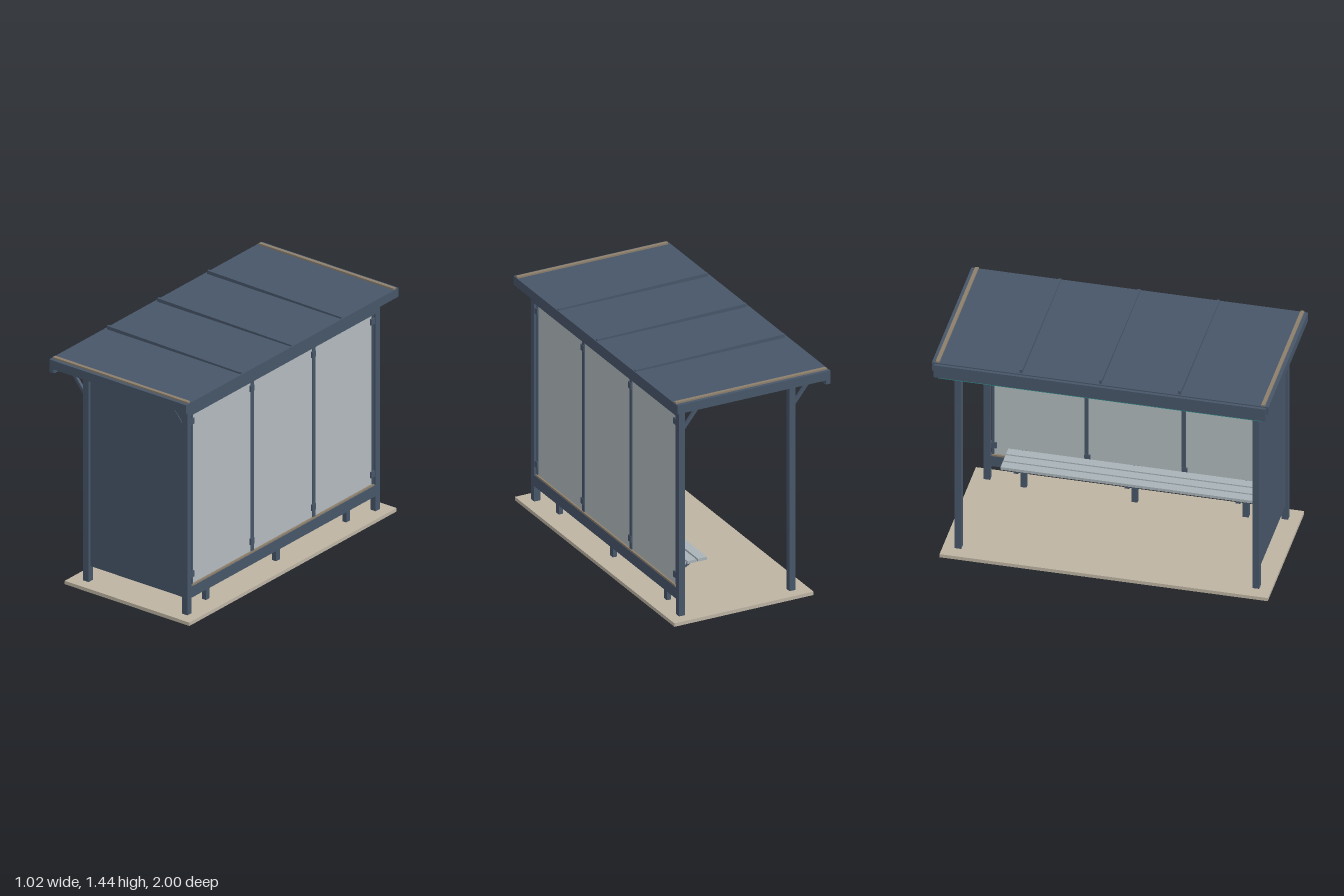
import * as THREE from 'three';

const mat = (name, color) => Object.assign(new THREE.MeshStandardMaterial({ color }), { name });

export function createModel() {
  const navy = mat('navy steel', 0x475669);
  const glass = mat('pale glass', 0xb2babd);
  const stone = mat('paving', 0xbdb4a3);
  const paper = mat('poster paper', 0xc8c1b0);
  const trim = mat('tan trim', 0x8c7f6c);
  const slatGrey = mat('bench grey', 0xa9b3b8);
  const teal = mat('teal strip', 0x2f8f88);

  const shelter = new THREE.Group();
  shelter.name = 'shelter';

  // Box given by its minimum and maximum on each axis
  function box(name, material, [x0, x1], [y0, y1], [z0, z1]) {
    const m = new THREE.Mesh(new THREE.BoxGeometry(x1 - x0, y1 - y0, z1 - z0), material);
    m.position.set((x0 + x1) / 2, (y0 + y1) / 2, (z0 + z1) / 2);
    m.name = name;
    shelter.add(m);
    return m;
  }

  // Bar running between two points in the xy plane
  function bar(name, material, xa, ya, xb, yb, z, thick, width) {
    const m = new THREE.Mesh(
      new THREE.BoxGeometry(Math.hypot(xb - xa, yb - ya), thick, width), material);
    m.position.set((xa + xb) / 2, (ya + yb) / 2, z);
    m.rotation.z = Math.atan2(yb - ya, xb - xa);
    m.name = name;
    shelter.add(m);
  }

  box('base', stone, [-0.405, 0.508], [0, 0.022], [-0.975, 0.975]);

  // Corner posts, knee braces and end headers
  for (const s of [-1, 1]) {
    const z = s * 0.885;
    for (const x of [-0.305, 0.42]) {
      box('post', navy, [x - 0.02, x + 0.02], [0.022, 1.366], [z - 0.02, z + 0.02]);
      bar('kneeBrace', navy, x - 0.01, 1.2, x - 0.115, 1.33, z, 0.018, 0.018);
    }
    box('endHeader', navy, [-0.285, 0.4], [1.32, 1.366], [z - 0.02, z + 0.02]);
  }
  box('frontHeader', navy, [-0.325, -0.285], [1.3, 1.366], [-0.866, 0.866]);
  box('rearHeader', navy, [0.4, 0.44], [1.288, 1.366], [-0.866, 0.866]);
  box('rearRail', navy, [0.4, 0.44], [0.12, 0.19], [-0.866, 0.866]);
  box('railTrim', trim, [0.402, 0.438], [0.19, 0.2], [-0.855, 0.855]);

  // Glazed rear wall
  const edges = [-0.85, -0.295, 0.283, 0.848];
  for (let i = 0; i < 3; i++) {
    box('glassPane', glass, [0.414, 0.426], [0.2, 1.288], [edges[i] + 0.008, edges[i + 1] - 0.008]);
  }
  edges.forEach((z, i) => {
    const w = i === 0 || i === 3 ? 0.006 : 0.012;
    box('mullion', navy, [0.408, 0.432], [0.19, 1.288], [z - w, z + w]);
    for (const y of [0.264, 1.243]) {
      box('glassClip', navy, [0.405, 0.437], [y - 0.019, y + 0.019], [z - 0.012, z + 0.022]);
    }
  });

  // Solid end panel with poster on its inner face
  box('endPanel', navy, [-0.282, 0.4], [0.12, 1.32], [0.865, 0.89]);
  box('poster', paper, [-0.23, 0.355], [0.345, 1.15], [0.858, 0.865]);

  // Roof deck, edge trims and slightly sloping ribs
  box('roofDeck', navy, [-0.492, 0.503], [1.366, 1.422], [-1, 1]);
  for (const s of [-1, 1]) {
    const z = s * 0.967;
    box('roofEdgeTrim', trim, [-0.49, 0.5], [1.422, 1.432], [z - 0.011, z + 0.011]);
  }
  for (const z of [-0.473, -0.002, 0.469]) {
    bar('roofRib', navy, -0.483, 1.434, 0.497, 1.421, z, 0.022, 0.016);
  }

  // Front gutter with light strip below
  box('gutter', navy, [-0.51, -0.48], [1.332, 1.366], [-0.985, 0.985]);
  box('gutterLip', navy, [-0.51, -0.492], [1.366, 1.415], [-0.985, 0.985]);
  box('lightStrip', teal, [-0.506, -0.486], [1.325, 1.332], [-0.96, 0.96]);

  // Cantilevered bench
  for (let i = 0; i < 3; i++) {
    const x = 0.175 + i * 0.069;
    box('benchSlat', slatGrey, [x, x + 0.058], [0.262, 0.28], [-0.75, 0.75]);
  }
  for (const z of [-0.66, 0, 0.66]) {
    box('benchLeg', navy, [0.37, 0.398], [0.022, 0.262], [z - 0.018, z + 0.018]);
    box('benchArm', navy, [0.18, 0.37], [0.244, 0.262], [z - 0.014, z + 0.014]);
    bar('benchBrace', navy, 0.375, 0.155, 0.2, 0.248, z, 0.016, 0.02);
  }

  return shelter;
}
